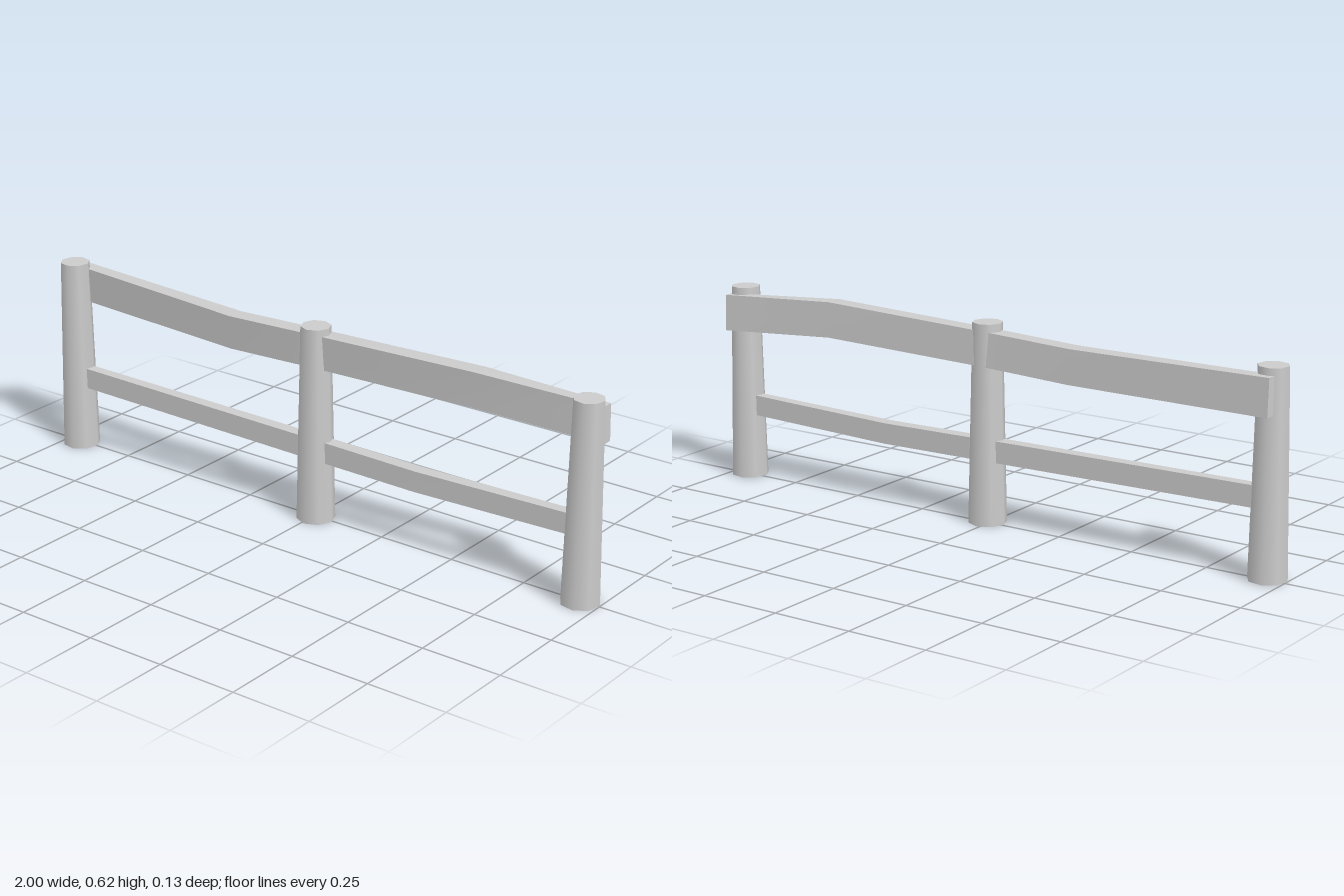
import * as THREE from 'three';

const grey = () => new THREE.MeshStandardMaterial({ color: 0xcccccc });

// Tapered eight-sided post standing on the ground
function makePost(name, x, turn) {
  const height = 0.615;
  const geometry = new THREE.CylinderGeometry(0.046, 0.059, height, 8);
  geometry.rotateY(turn);
  const post = new THREE.Mesh(geometry, grey());
  post.name = name;
  post.position.set(x, height / 2, 0.006);
  return post;
}

// Bent plank: a box whose stations follow [x, bottom, top, back, front];
// lean shifts the top edge forward
function makeRail(name, stations, lean) {
  const n = stations.length - 1;
  const geometry = new THREE.BoxGeometry(n, 1, 1, n, 1, 1);
  const p = geometry.attributes.position;
  for (let i = 0; i < p.count; i++) {
    const [x, bottom, top, back, front] = stations[Math.round(p.getX(i) + n / 2)];
    const up = p.getY(i) > 0;
    const z = p.getZ(i) > 0 ? front : back;
    p.setXYZ(i, x, up ? top : bottom, z + (up ? lean : 0));
  }
  geometry.computeVertexNormals();
  const rail = new THREE.Mesh(geometry, grey());
  rail.name = name;
  return rail;
}

export function createModel() {
  const fence = new THREE.Group();
  fence.name = 'fence';

  // Posts
  fence.add(
    makePost('rightPost', -0.942, 0.2),
    makePost('middlePost', 0.01, 0),
    makePost('leftPost', 0.941, 0.2),
  );

  // Broad upper rail, bowed and fixed behind the end posts
  fence.add(makeRail('upperRail', [
    [-0.965, 0.482, 0.594, -0.066, -0.022],
    [-0.3, 0.475, 0.58, -0.036, 0.02],
    [0.01, 0.487, 0.592, -0.034, 0.022],
    [0.58, 0.5, 0.61, -0.034, 0.022],
    [0.975, 0.477, 0.59, -0.057, -0.026],
  ], 0.005));

  // Narrow lower rail, sagging slightly between the posts
  fence.add(makeRail('lowerRail', [
    [-0.95, 0.205, 0.27, -0.012, 0.022],
    [-0.1, 0.195, 0.262, -0.016, 0.024],
    [0.38, 0.19, 0.255, -0.018, 0.024],
    [0.95, 0.204, 0.268, -0.012, 0.022],
  ], 0));

  return fence;
}
